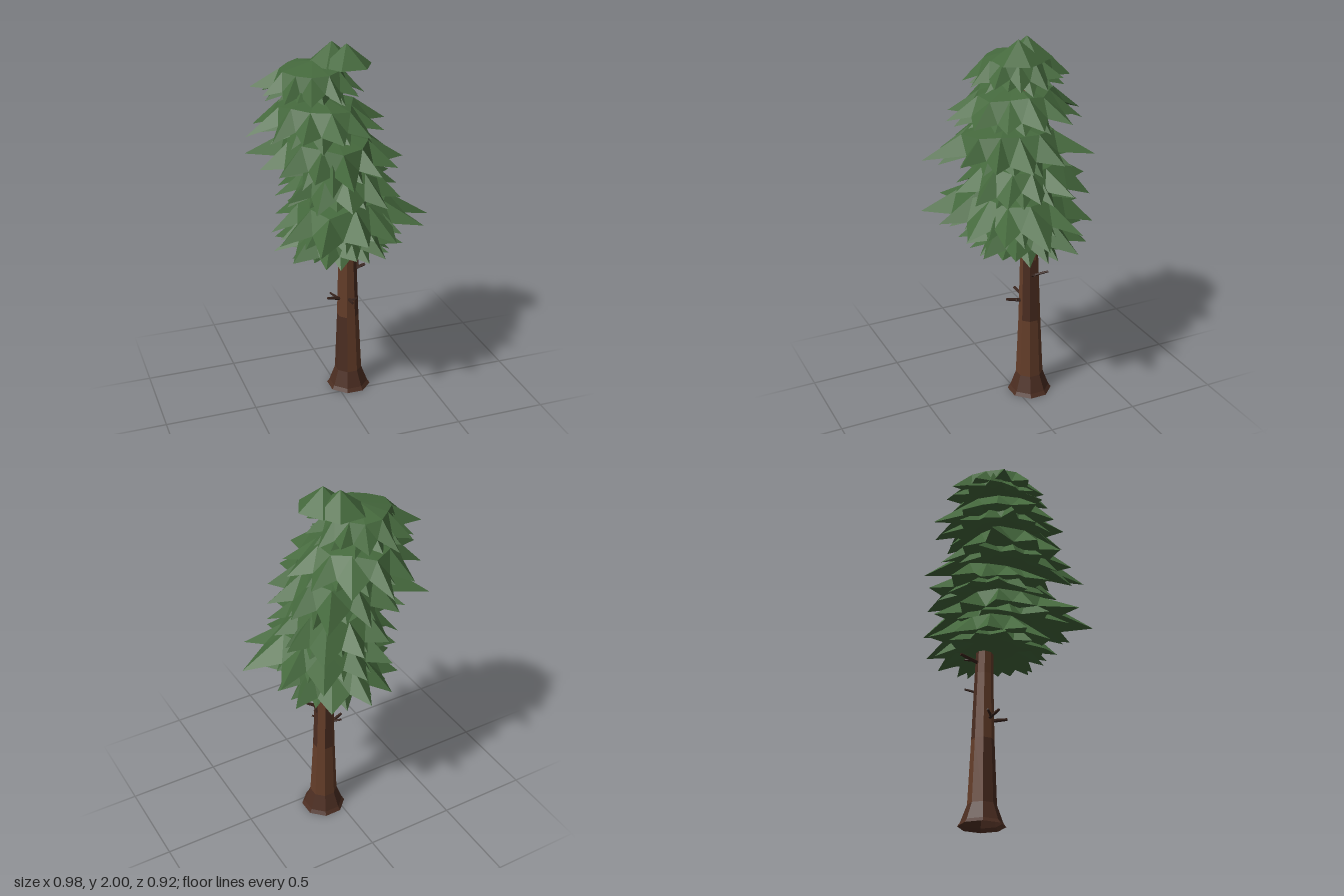
import * as THREE from 'three';

const mat = (name, color, side = THREE.FrontSide) => {
  const m = new THREE.MeshStandardMaterial({ color, side, flatShading: true });
  m.name = name;
  return m;
};
const V = (x, y, z) => new THREE.Vector3(x, y, z);

function seeded(seed) {
  return () => {
    seed = (seed * 16807) % 2147483647;
    return seed / 2147483647;
  };
}

// Flat-faced geometry from a list of corner points, three per face
function facets(points) {
  const g = new THREE.BufferGeometry().setFromPoints(points);
  g.computeVertexNormals();
  return g;
}

// One drooping skirt of needles: flat crown, folded shoulders, spiky rim, closed underside
function skirt(cx, cz, top, tipY, turn, radii, rand) {
  const n = radii.length, step = (Math.PI * 2) / n;
  const at = (a, r, y) => V(cx + Math.cos(a) * r, y, cz + Math.sin(a) * r);
  const shoulder = [], under = [], tip = [], notch = [];
  const drop = top - tipY;
  radii.forEach((r, i) => {
    const a = i * step + turn + (rand() - 0.5) * 0.06;
    const next = radii[(i + 1) % n];
    shoulder.push(at(a, r * (0.48 + rand() * 0.14), top - drop * (0.18 + rand() * 0.14)));
    under.push(at(a, r * 0.45, top - drop * 0.7));
    tip.push(at(a, r, tipY + (rand() - 0.5) * 0.05));
    notch.push(at(a + step * (0.4 + rand() * 0.2), Math.min(r, next) * (0.7 + rand() * 0.08),
      tipY + drop * (0.08 + rand() * 0.2)));
  });
  const pts = [], crown = V(cx, top, cz), base = V(cx, top - drop * 0.75, cz);
  const cover = (centre, ring, flip) => {
    for (let i = 0; i < n; i++) {
      const j = (i + 1) % n;
      [[centre, ring[j], ring[i]], [ring[i], notch[i], tip[i]],
        [ring[i], ring[j], notch[i]], [ring[j], tip[j], notch[i]],
      ].forEach(f => pts.push(...(flip ? f.reverse() : f)));
    }
  };
  cover(crown, shoulder, false);
  cover(base, under, true);
  return facets(pts);
}

// Eight-sided trunk, open below, its faces sorted into light and dark bark
function trunkGeometries() {
  // height, radius, centre x, centre z
  const rings = [[0, 0.122, 0.073, -0.08], [0.02, 0.108, 0.073, -0.08], [0.11, 0.075, 0.071, -0.08],
    [0.45, 0.06, 0.068, -0.08], [0.81, 0.049, 0.064, -0.078], [1.2, 0.038, 0.04, -0.08],
    [1.86, 0.025, -0.03, -0.09]];
  const sides = 8;
  const p = (r, s) => {
    const [y, rad, cx, cz] = rings[r], a = ((s + 0.5) / sides) * Math.PI * 2;
    return V(cx + Math.cos(a) * rad, y, cz + Math.sin(a) * rad);
  };
  const light = [], dark = [];
  const patches = ['2,2', '2,3', '3,7', '3,0', '3,5', '4,5'];
  for (let r = 0; r < rings.length - 1; r++) {
    for (let s = 0; s < sides; s++) {
      const list = r < 2 || patches.includes(`${r},${s}`) ? dark : light;
      const a = p(r, s), b = p(r, s + 1), c = p(r + 1, s + 1), d = p(r + 1, s);
      list.push(a, c, b, a, d, c);
    }
  }
  return [facets(light), facets(dark)];
}

// Tapered stick between two points
function stick(a, b, r) {
  const dir = b.clone().sub(a);
  const g = new THREE.CylinderGeometry(r * 0.7, r, dir.length(), 5);
  g.applyQuaternion(new THREE.Quaternion().setFromUnitVectors(V(0, 1, 0), dir.clone().normalize()));
  const mid = a.clone().add(b).multiplyScalar(0.5);
  return g.translate(mid.x, mid.y, mid.z);
}

export function createModel() {
  const tree = new THREE.Group();
  tree.name = 'conifer';
  const green = mat('needle green', 0x45693d, THREE.DoubleSide);
  const bark = mat('bark brown', 0x643d29);
  const darkBark = mat('dark bark', 0x4b2d21, THREE.DoubleSide);
  const twigBrown = mat('twig brown', 0x38231b);
  const add = (name, geometry, material, parent = tree) => {
    const m = new THREE.Mesh(geometry, material);
    m.name = name;
    parent.add(m);
    return m;
  };

  // Trunk
  const [light, dark] = trunkGeometries();
  add('trunk', light, bark);
  add('trunkFlareAndPatches', dark, darkBark);

  // Bare forked twigs
  const twigs = new THREE.Group();
  twigs.name = 'twigs';
  tree.add(twigs);
  [
    [V(0.04, 0.555, -0.07), V(-0.06, 0.58, -0.05), V(-0.03, 0.585, -0.1)],
    [V(0.06, 0.56, -0.04), V(0.05, 0.58, 0.05), V(0.09, 0.585, 0.01)],
    [V(0.1, 0.72, -0.08), V(0.16, 0.75, -0.06), V(0.15, 0.75, -0.15)],
    [V(0.06, 0.87, -0.1), V(0.05, 0.9, -0.22), V(0.09, 0.89, -0.18)],
  ].forEach(([root, end, fork]) => {
    add('twig', stick(root, end, 0.011), twigBrown, twigs);
    add('twigFork', stick(root.clone().lerp(end, 0.35), fork, 0.008), twigBrown, twigs);
  });

  // Foliage tiers: centre x, centre z, top, tip height, turn, spike lengths from +x towards +z
  const rand = seeded(4217);
  [
    [-0.12, -0.09, 1.91, 1.765, -0.17, [0.26, 0.26, 0.27, 0.29, 0.28, 0.27, 0.28, 0.32, 0.28, 0.30, 0.28, 0.26]],
    [-0.10, -0.06, 1.745, 1.57, 0, [0.36, 0.34, 0.35, 0.38, 0.34, 0.34, 0.39, 0.35, 0.36, 0.40, 0.36, 0.37]],
    [-0.05, 0.00, 1.565, 1.38, 0.07, [0.38, 0.35, 0.36, 0.46, 0.35, 0.36, 0.38, 0.48, 0.38, 0.38, 0.46, 0.38]],
    [0.00, -0.05, 1.405, 1.215, 0.1, [0.32, 0.34, 0.36, 0.35, 0.34, 0.36, 0.34, 0.34, 0.35, 0.37, 0.37, 0.37]],
    [0.00, 0.00, 1.24, 1.06, 0.02, [0.49, 0.44, 0.38, 0.41, 0.48, 0.47, 0.38, 0.36, 0.39, 0.40, 0.43, 0.45]],
    [0.00, -0.05, 1.09, 0.91, 0, [0.33, 0.35, 0.33, 0.31, 0.33, 0.35, 0.36, 0.35, 0.36, 0.385, 0.36, 0.37]],
  ].forEach(([cx, cz, top, tipY, turn, radii], i) => {
    const tier = new THREE.Group();
    tier.name = `foliageTier${i + 1}`;
    tree.add(tier);
    add('upperSkirt', skirt(cx, cz, top, tipY, turn, radii, rand), green, tier);
    const inner = radii.map(r => 0.075 + r * 0.62);
    add('lowerSkirt', skirt(cx, cz, top - 0.035, tipY - 0.025, turn + Math.PI / 12, inner, rand), green, tier);
  });

  // Twin six-sided hollow caps at the top
  [[-0.016, -0.098], [0.037, -0.024]].forEach(([x, z]) => {
    const cap = add('topCap', new THREE.ConeGeometry(0.135, 0.11, 6, 1, true), green);
    cap.position.set(x, 1.945, z);
    cap.rotation.y = Math.PI / 6;
  });
  return tree;
}
